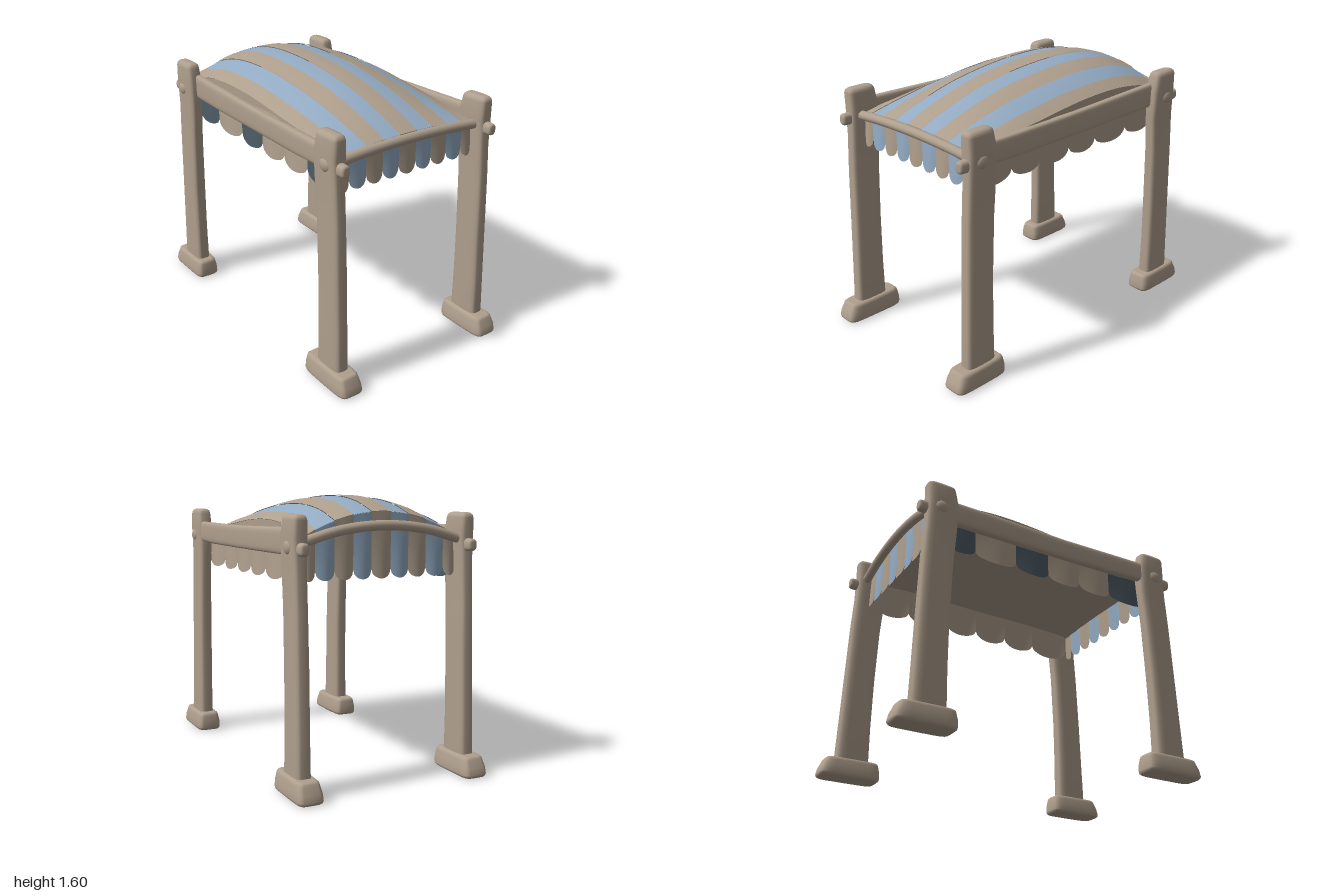
import * as THREE from 'three';

const mat = (name, color, side = THREE.FrontSide) => {
  const m = new THREE.MeshStandardMaterial({ color, side });
  m.name = name;
  return m;
};

// Rounded bar along y from sections [y, centreX, centreZ, width, depth], ends rounded by r
function loft(sections, r = 0.02, power = 0.4, n = 28) {
  const first = sections[0], last = sections[sections.length - 1];
  const end = (s, dir) => [[0, 0.98], [0.12, 0.5], [0.45, 0.15], [1, 0]].map(([up, inset]) =>
    [s[0] + dir * up * r, s[1], s[2], s[3] - 2 * inset * r, s[4] - 2 * inset * r]);
  const rings = [...end(first, 1), ...sections.slice(1, -1), ...end(last, -1).reverse()];
  const pos = [], idx = [];
  const sp = (v) => Math.sign(v) * Math.pow(Math.abs(v), power);
  for (const [y, cx, cz, w, d] of rings)
    for (let i = 0; i < n; i++) {
      const a = (i / n) * Math.PI * 2;
      pos.push(cx + sp(Math.cos(a)) * w / 2, y, cz + sp(Math.sin(a)) * d / 2);
    }
  const top = rings.length - 1;
  for (let j = 0; j < top; j++)
    for (let i = 0; i < n; i++) {
      const a = j * n + i, b = j * n + (i + 1) % n;
      idx.push(a, a + n, b, b, a + n, b + n);
    }
  const c0 = pos.length / 3, c1 = c0 + 1;
  pos.push(first[1], first[0], first[2], last[1], last[0], last[2]);
  for (let i = 0; i < n; i++) {
    const k = (i + 1) % n;
    idx.push(c0, i, k, c1, top * n + k, top * n + i);
  }
  const g = new THREE.BufferGeometry();
  g.setAttribute('position', new THREE.Float32BufferAttribute(pos, 3));
  g.setIndex(idx);
  g.computeVertexNormals();
  return g;
}

// Sheet whose points follow fn(u, v)
function sheet(fn, nu, nv) {
  const g = new THREE.PlaneGeometry(1, 1, nu, nv);
  const p = g.attributes.position;
  for (let i = 0; i < p.count; i++) p.setXYZ(i, ...fn(p.getX(i) + 0.5, 0.5 - p.getY(i)));
  g.computeVertexNormals();
  return g;
}

// Canopy height: a ridge falling towards +x, arched across z
const ridge = new THREE.SplineCurve([[-0.775, 1.515], [-0.58, 1.572], [-0.33, 1.598], [0, 1.585],
  [0.33, 1.535], [0.6, 1.455], [0.775, 1.385]].map((p) => new THREE.Vector2(...p)));
const ridgePts = ridge.getPoints(120);
function canopyY(x, z) {
  let i = 1;
  while (i < 120 && ridgePts[i].x < x) i++;
  const a = ridgePts[i - 1], b = ridgePts[i];
  const y = a.y + (b.y - a.y) * (x - a.x) / (b.x - a.x);
  const t = THREE.MathUtils.clamp((x - 0.1) / 0.67, 0, 1);
  const drop = 0.135 - 0.1 * t * t;
  return y - drop * (z / 0.48) ** 2;
}

export function createModel() {
  const model = new THREE.Group();
  const wood = mat('weathered wood', 0xaf9f8d);
  const cream = mat('tan cloth', 0xaf9f8d, THREE.DoubleSide);
  const blue = mat('blue cloth', 0x93abc3, THREE.DoubleSide);
  const slate = mat('slate cloth', 0x4c5b64, THREE.DoubleSide);
  const add = (name, geo, material) => {
    const m = new THREE.Mesh(geo, material);
    m.name = name;
    model.add(m);
    return m;
  };

  // Posts, feet and knobs at the four corners
  for (const sx of [-1, 1])
    for (const sz of [-1, 1]) {
      add('post', loft([
        [0.08, sx * 0.798, sz * 0.518, 0.205, 0.095],
        [0.35, sx * 0.795, sz * 0.517, 0.195, 0.09],
        [0.65, sx * 0.788, sz * 0.515, 0.188, 0.09],
        [1.0, sx * 0.775, sz * 0.515, 0.19, 0.085],
        [1.22, sx * 0.76, sz * 0.515, 0.195, 0.085],
        [1.38, sx * 0.757, sz * 0.515, 0.195, 0.1],
        [1.505, sx * 0.768, sz * 0.515, 0.18, 0.09],
      ], 0.03, 0.5), wood);
      const fw = sz * sx < 0 ? 0.358 : sx > 0 ? 0.39 : 0.37;
      add('foot', loft([
        [0, sx * (0.998 - fw / 2), sz * 0.518, fw, 0.16],
        [0.06, sx * (0.994 - fw / 2), sz * 0.518, fw - 0.01, 0.154],
        [0.12, sx * (0.988 - fw / 2), sz * 0.518, fw - 0.035, 0.138],
      ], 0.022, 0.35), wood);
      const knob = add('knob', new THREE.SphereGeometry(1, 20, 12), wood);
      knob.scale.set(0.047, 0.042, 0.024);
      knob.position.set(sx * 0.772, 1.335, sz * 0.55);
      const peg = loft([[0.8, -1.325, sz * 0.515, 0.075, 0.06],
        [0.905, -1.325, sz * 0.515, 0.068, 0.055]], 0.015, 0.75).rotateZ(-Math.PI / 2);
      if (sx < 0) peg.rotateY(Math.PI);
      add('beamPeg', peg, wood);
    }

  // Long beams, slightly splayed towards +x
  for (const sz of [-1, 1])
    add('longBeam', loft([
      [-0.78, -1.36, sz * 0.492, 0.15, 0.05],
      [-0.4, -1.355, sz * 0.5, 0.145, 0.055],
      [0.1, -1.35, sz * 0.51, 0.135, 0.05],
      [0.5, -1.353, sz * 0.52, 0.135, 0.055],
      [0.78, -1.36, sz * 0.528, 0.125, 0.05],
    ], 0.015, 0.55).rotateZ(-Math.PI / 2), wood);

  // Bowed rails across the two ends
  for (const [x, yMid, yEnd] of [[-0.803, 1.44, 1.345], [0.792, 1.36, 1.335]]) {
    const pts = [-0.53, -0.27, 0, 0.27, 0.53].map((z) =>
      new THREE.Vector3(x, yMid - (yMid - yEnd) * (z / 0.53) ** 2, z));
    add('endRail', new THREE.TubeGeometry(new THREE.CatmullRomCurve3(pts), 32, 0.028, 12), wood);
  }

  // Striped canopy, tan stripes sitting slightly proud
  const edges = [-0.48, -0.4, -0.285, -0.172, -0.06, 0.06, 0.172, 0.285, 0.4, 0.48];
  const stripeMat = (i) => (i % 2 ? blue : cream);
  for (let i = 0; i < 9; i++) {
    const lift = i % 2 ? -0.002 : 0.002;
    add('canopyStripe', sheet((u, v) => {
      const x = -0.775 + 1.55 * u, z = edges[i] + (edges[i + 1] - edges[i]) * v;
      return [x, canopyY(x, z) + lift, z];
    }, 40, 4), stripeMat(i));
  }
  // Flatter lining slung below the canopy
  add('canopyLining', sheet((u, v) => {
    const x = -0.77 + 1.54 * u, z = -0.478 + 0.956 * v;
    return [x, 1.33 + 0.3 * (canopyY(x, z) - 1.37), z];
  }, 40, 20), cream);

  // Hems close the gap between canopy edge and beam
  for (const sz of [-1, 1])
    add('canopyHem', sheet((u, v) => {
      const x = -0.775 + 1.55 * u, y0 = canopyY(x, 0.48);
      return [x, y0 + (Math.min(1.41, y0 - 0.02) - y0) * v, sz * 0.48];
    }, 40, 1), cream);

  // Scalloped flap: rounded bottom edge with a gentle billow
  const round = (u) => Math.sqrt(Math.max(0, 1 - (2 * u - 1) ** 2));
  const billow = (u, v) => 0.014 * Math.sin(Math.PI * u) * v;

  // End valances follow the canopy stripes
  for (const sx of [-1, 1])
    for (let i = 0; i < 9; i++)
      add('endScallop', sheet((u, v) => {
        const z = edges[i] + (edges[i + 1] - edges[i]) * u;
        const y0 = canopyY(sx * 0.775, z), y1 = 1.2 - 0.05 * round(u);
        return [sx * (0.772 + billow(u, v)), y0 + (y1 - y0) * v, z];
      }, 16, 6), stripeMat(i));

  // Front and back valances, six wide flaps each, tucked behind the beams
  const xs = [-0.75, -0.5, -0.22, 0.01, 0.24, 0.47, 0.75];
  const frontMats = [slate, cream, slate, cream, cream, slate];
  for (const sz of [-1, 1])
    for (let i = 0; i < 6; i++)
      add(sz > 0 ? 'frontScallop' : 'backScallop', sheet((u, v) => {
        const x = xs[i] + (xs[i + 1] - xs[i]) * u, y1 = 1.18 - 0.05 * round(u);
        return [x, 1.34 + (y1 - 1.34) * v, sz * (0.455 + billow(u, v))];
      }, 20, 6), sz > 0 ? frontMats[i] : cream);

  return model;
}
